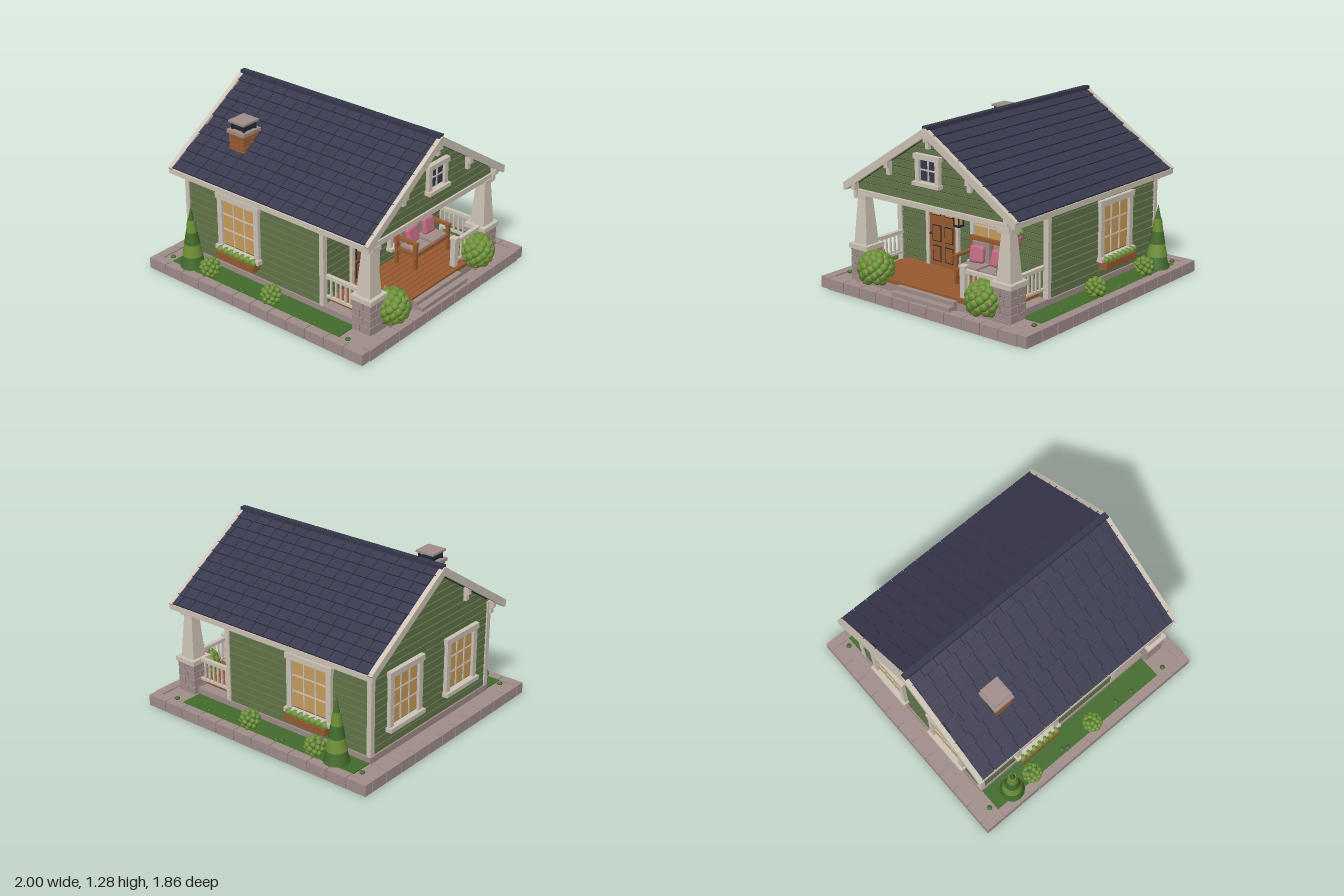
import * as THREE from 'three';
import { mergeGeometries } from 'three/addons/utils/BufferGeometryUtils.js';
import { RoundedBoxGeometry } from 'three/addons/geometries/RoundedBoxGeometry.js';

const mat = (name, color) => Object.assign(new THREE.MeshStandardMaterial({ color }), { name });
const siding = mat('green siding', 0x62754a), trim = mat('cream trim', 0xcdc3b6), slate = mat('navy shingle', 0x38384e),
  stone = mat('stone', 0xa08d89), wood = mat('warm wood', 0x975a30), glow = mat('window glow', 0xc89b59),
  leaf = mat('leaf green', 0x6c9036), grass = mat('grass green', 0x426b2c), pink = mat('pink', 0xc06a82), dark = mat('dark', 0x25252f);

// Box geometry from min / max values
function bx(x0, x1, y0, y1, z0, z1) {
  return new THREE.BoxGeometry(x1 - x0, y1 - y0, z1 - z0).translate((x0 + x1) / 2, (y0 + y1) / 2, (z0 + z1) / 2);
}
// One mesh from one geometry or a list of them
function part(parent, name, material, geos) {
  const mesh = new THREE.Mesh(Array.isArray(geos) ? mergeGeometries(geos) : geos, material);
  mesh.name = name;
  parent.add(mesh);
  return mesh;
}
function group(parent, name, x = 0, y = 0, z = 0, ry = 0) {
  const g = new THREE.Group();
  g.name = name;
  g.position.set(x, y, z);
  g.rotation.y = ry;
  parent.add(g);
  return g;
}
const ball = (r, x, y, z) => new THREE.SphereGeometry(r, 8, 6).translate(x, y, z);

const RIDGE = 1.262, PITCH = 0.645, ANGLE = Math.atan(PITCH), WALL = 0.665, BOARD = 0.055;
const halfWidth = y => Math.max(0.004, Math.min(WALL, (RIDGE - 0.05 - y) / PITCH));

// Slice of the gable outline between two heights, extruded along x
function gableSlice(y0, y1, x0, x1) {
  const k = RIDGE - 0.05 - WALL * PITCH, ys = [y0];
  if (k > y0 && k < y1) ys.push(k);
  ys.push(y1);
  const pts = ys.map(y => new THREE.Vector2(halfWidth(y), y))
    .concat(ys.slice().reverse().map(y => new THREE.Vector2(-halfWidth(y), y)));
  return new THREE.ExtrudeGeometry(new THREE.Shape(pts), { depth: x1 - x0, bevelEnabled: false })
    .rotateY(Math.PI / 2).translate(x0, 0, 0);
}
function gableBoards(y0, x0, x1) {
  const out = [];
  for (let y = y0; y < 1.19; y += BOARD) out.push(gableSlice(y + 0.007, Math.min(y + BOARD, 1.205), x0, x1));
  return out;
}

// Framed window facing +z, origin at the middle of its bottom edge
function makeWindow(parent, name, x, y, z, ry, w, h, cols, rows, glass, f = 0.042) {
  const g = group(parent, name, x, y, z, ry), a = w / 2 - f, bars = [];
  part(g, 'pane', glass, bx(-a, a, f, h - f, 0, 0.009));
  for (let i = 1; i < cols; i++) bars.push(bx(-a + 2 * a * i / cols - 0.005, -a + 2 * a * i / cols + 0.005, f, h - f, 0, 0.016));
  for (let j = 1; j < rows; j++) {
    const v = f + (h - 2 * f) * j / rows;
    bars.push(bx(-a, a, v - 0.005, v + 0.005, 0, 0.015));
  }
  part(g, 'muntins', trim, bars);
  part(g, 'frame', trim, [bx(-w / 2, -a, 0.02, h - 0.02, 0, 0.03), bx(a, w / 2, 0.02, h - 0.02, 0, 0.03),
    bx(-w / 2 - 0.01, w / 2 + 0.01, h - f, h, 0, 0.037), bx(-w / 2 - 0.012, w / 2 + 0.012, 0, f * 0.75, 0, 0.05)]);
}

// Bush of leaf clumps spread over a dark core
function bush(parent, x, y, z, r, n, flowers) {
  const g = group(parent, 'bush', x, y, z), clumps = [], blooms = [];
  for (let i = 0; i < n; i++) {
    const v = 1 - 1.8 * (i + 0.5) / n, q = Math.sqrt(1 - v * v), t = i * 2.39996;
    clumps.push(ball(r * 0.28, r * 0.78 * q * Math.cos(t), r * 0.78 * v, r * 0.78 * q * Math.sin(t)));
    if (flowers && i % 9 === 4) blooms.push(ball(r * 0.08, r * 1.06 * q * Math.cos(t), r * 1.06 * v, r * 1.06 * q * Math.sin(t)));
  }
  part(g, 'bushCore', grass, ball(r * 0.82, 0, 0, 0));
  part(g, 'leafClumps', leaf, clumps);
  if (flowers) part(g, 'blossoms', pink, blooms);
}

function conifer(parent, x, z) {
  const g = group(parent, 'conifer', x, 0.08, z);
  part(g, 'trunk', wood, new THREE.CylinderGeometry(0.02, 0.02, 0.05, 8).translate(0, 0.02, 0));
  for (let i = 0; i < 5; i++) {
    const b = 0.015 + i * 0.09, r = 0.093 * (1 - i * 0.19), top = i === 4 ? 0 : r * 0.72;
    part(g, 'tier', i % 2 ? leaf : grass, new THREE.CylinderGeometry(top, r, i === 4 ? 0.11 : 0.092, 14).translate(0, b + (i === 4 ? 0.055 : 0.046), 0));
  }
}

function railing(parent, length, x, z, ry) {
  const g = group(parent, 'railing', x, 0.155, z, ry), bars = [bx(0, length, 0.175, 0.2, -0.015, 0.015), bx(0, length, 0.025, 0.042, -0.01, 0.01)];
  const n = Math.round(length / 0.042);
  for (let i = 1; i < n; i++) bars.push(bx(length * i / n - 0.006, length * i / n + 0.006, 0.03, 0.18, -0.006, 0.006));
  part(g, 'rails', trim, bars);
}

function buildGround(m) {
  part(m, 'slab', stone, bx(-0.99, 0.97, 0, 0.072, -0.92, 0.92));
  const blocks = [];
  for (const s of [-1, 1]) {
    for (let i = 0; i < 12; i++) blocks.push(bx(-1 + i * 0.165, -1 + (i + 1) * 0.165 - 0.007, 0, 0.082, s * 0.895 - 0.035, s * 0.895 + 0.035));
    const x = s < 0 ? -0.965 : 0.945;
    for (let i = 0; i < 11; i++) blocks.push(bx(x - 0.035, x + 0.035, 0, 0.082, -0.857 + i * 0.156, -0.857 + (i + 1) * 0.156 - 0.007));
    part(m, 'lawn', grass, bx(-0.84, 0.71, 0.06, 0.08, s * 0.77 - 0.09, s * 0.77 + 0.09));
    conifer(m, -0.67, s * 0.815);
    for (const bxPos of [-0.49, 0.09]) bush(m, bxPos, 0.145, s * 0.825, 0.075, 30, false);
    bush(m, 0.865, 0.205, s * 0.49, 0.128, 60, true);
    part(m, 'tufts', grass, [-0.88, -0.2, -0.16, 0.34, 0.48, 0.78].map((v, i) => ball(0.02, 0, 0, 0).scale(1, 0.6, 1).translate(v, 0.083, s * (0.81 + 0.015 * (i % 3)))));
  }
  part(m, 'borderStones', stone, blocks);
}

function buildHouse(m) {
  part(m, 'foundation', stone, [bx(-0.85, 0.435, 0.06, 0.12, -0.685, 0.685), bx(0.43, 0.87, 0.06, 0.125, -0.685, 0.685)]);
  part(m, 'wallCore', dark, gableSlice(0.1, 1.2, -0.825, 0.415).scale(1, 1, 0.995));
  part(m, 'endSiding', siding, [...gableBoards(0.115, -0.84, -0.82), ...gableBoards(0.115, 0.41, 0.427)]);
  for (const s of [-1, 1]) {
    const rows = [];
    for (let y = 0.115; y < 0.75; y += BOARD) rows.push(bx(-0.835, 0.422, y + 0.007, y + BOARD, s * WALL - 0.01, s * WALL + 0.01));
    part(m, 'sideSiding', siding, rows);
    part(m, 'cornerTrim', trim, [bx(-0.85, -0.815, 0.115, 0.78, s * 0.664 - 0.02, s * 0.664 + 0.02), bx(0.402, 0.438, 0.115, 0.78, s * 0.664 - 0.02, s * 0.664 + 0.02)]);
    makeWindow(m, 'sideWindow', -0.33, 0.24, s * 0.67, s > 0 ? 0 : Math.PI, 0.385, 0.44, 3, 3, glow);
    makeWindow(m, 'backWindow', -0.838, 0.24, s * 0.32, -Math.PI / 2, 0.36, 0.44, 3, 3, glow);
    // Flower box below the side window
    part(m, 'flowerBox', wood, bx(-0.51, -0.15, 0.185, 0.235, s * 0.71 - 0.035, s * 0.71 + 0.035));
    part(m, 'boxPlants', leaf, [0, 1, 2, 3, 4, 5, 6].map(i => ball(0.03, -0.485 + i * 0.052, 0.246, s * 0.715)));
  }
  makeWindow(m, 'porchWindow', 0.427, 0.25, -0.175, Math.PI / 2, 0.31, 0.43, 2, 3, glow, 0.03);

  // Front door
  const d = group(m, 'door', 0.427, 0.155, 0.245, Math.PI / 2);
  part(d, 'doorLeaf', wood, bx(-0.125, 0.125, 0, 0.485, 0, 0.012));
  part(d, 'doorFrame', trim, [bx(-0.152, -0.125, 0, 0.49, 0, 0.025), bx(0.125, 0.152, 0, 0.49, 0, 0.025), bx(-0.16, 0.16, 0.485, 0.515, 0, 0.032)]);
  const grooves = [], panels = [], lights = [];
  for (const x of [-0.057, 0.057]) for (const [y, h] of [[0.035, 0.115], [0.18, 0.12], [0.37, 0.075]]) {
    grooves.push(bx(x - 0.04, x + 0.04, y, y + h, 0.01, 0.015));
    (y > 0.3 ? lights : panels).push(bx(x - 0.033, x + 0.033, y + 0.007, y + h - 0.007, 0.01, 0.019));
  }
  part(d, 'panelGrooves', dark, grooves);
  part(d, 'doorPanels', wood, panels);
  part(d, 'doorLights', glow, lights);
  part(d, 'knob', dark, ball(0.01, -0.108, 0.235, 0.022));

  // Wall lantern
  const l = group(m, 'lantern', 0.485, 0.5, 0.06);
  part(l, 'lanternGlass', glow, bx(-0.02, 0.02, 0.015, 0.08, -0.02, 0.02));
  part(l, 'lanternFrame', dark, [bx(-0.028, 0.028, 0, 0.015, -0.028, 0.028), bx(-0.032, 0.032, 0.08, 0.095, -0.032, 0.032),
    bx(-0.018, 0.018, 0.095, 0.112, -0.018, 0.018), bx(-0.06, 0, 0.095, 0.105, -0.008, 0.008),
    ...[-1, 1].flatMap(a => [-1, 1].map(b => bx(a * 0.022 - 0.004, a * 0.022 + 0.004, 0, 0.09, b * 0.022 - 0.004, b * 0.022 + 0.004)))]);
}

function buildRoof(m) {
  for (const s of [-1, 1]) {
    const g = group(m, 'roofSlope', 0, RIDGE, 0);
    g.rotation.x = s * ANGLE;
    const slab = (x0, x1, y0, y1, t0, t1) => bx(x0, x1, y0, y1, Math.min(s * t0, s * t1), Math.max(s * t0, s * t1));
    part(g, 'roofDeck', dark, slab(-0.885, 0.855, -0.035, -0.01, 0, 0.9));
    const tiles = [], n = 11, len = 0.907 / n, w = 0.1135;
    for (let r = 0; r < n; r++) for (let i = -1; i < 16; i++) {
      const shift = (r % 2) * 0.018 + (r % 3) * 0.007, x0 = Math.max(-0.895 + (r % 2) * 0.012, -0.9 + i * w + shift), x1 = Math.min(0.868 - (r % 3) * 0.006, -0.9 + (i + 1) * w + shift - 0.006);
      if (x1 - x0 < 0.01) continue;
      tiles.push(bx(x0, x1, -0.007, 0.007, -len / 2, len / 2 - 0.003).rotateX(-s * 0.09).translate(0, 0, s * (r + 0.5) * len));
    }
    part(g, 'shingles', slate, tiles);
    part(g, 'rakeBoards', trim, [slab(-0.92, -0.885, -0.042, 0.01, 0, 0.915), slab(0.853, 0.885, -0.042, 0.01, 0, 0.915)]);
    part(m, 'eaveFascia', trim, bx(-0.92, 0.885, 0.728, 0.766, s * 0.757 - 0.01, s * 0.757 + 0.01));
  }
  part(m, 'ridgeCap', slate, Array.from({ length: 16 }, (_, i) => bx(-0.91 + i * 0.112, -0.91 + (i + 1) * 0.112 - 0.006, 1.25, 1.283, -0.022, 0.022)));

  // Porch gable with window and brackets
  part(m, 'gableCore', dark, gableSlice(0.735, 1.2, 0.79, 0.822).scale(1, 1, 0.995));
  part(m, 'gableLining', siding, gableSlice(0.735, 1.2, 0.775, 0.79));
  part(m, 'gableSiding', siding, gableBoards(0.735, 0.815, 0.835));
  makeWindow(m, 'gableWindow', 0.835, 0.872, 0, Math.PI / 2, 0.21, 0.215, 2, 2, slate, 0.035);
  const brackets = [];
  for (const x of [0.835, -0.885]) for (const z of [-0.68, -0.36, 0, 0.36, 0.68]) {
    const y = RIDGE - 0.055 - Math.abs(z) * PITCH;
    brackets.push(bx(x, x + 0.045, y - 0.03, y + 0.015, z - 0.017, z + 0.017), bx(x + (x > 0 ? 0 : 0.02), x + (x > 0 ? 0.025 : 0.045), y - 0.08, y - 0.03, z - 0.015, z + 0.015));
  }
  part(m, 'brackets', trim, brackets);

  // Chimney
  const c = group(m, 'chimney', -0.49, 0, 0.44), bricks = [];
  part(c, 'mortar', dark, bx(-0.062, 0.062, 0.85, 1.06, -0.072, 0.072));
  for (let r = 0; r < 7; r++) {
    const y = 0.86 + r * 0.029, k = r % 2 ? 0.02 : -0.02;
    bricks.push(bx(-0.068, k - 0.003, y, y + 0.025, -0.078, 0.078), bx(k + 0.003, 0.068, y, y + 0.025, -0.078, 0.078));
  }
  part(c, 'bricks', wood, bricks);
  part(c, 'chimneyCaps', stone, [bx(-0.082, 0.082, 1.06, 1.085, -0.088, 0.088), bx(-0.074, 0.074, 1.138, 1.153, -0.078, 0.078)]);
  part(c, 'flue', dark, [bx(-0.05, 0.05, 1.08, 1.115, -0.05, 0.05), ...[-1, 1].flatMap(a => [-1, 1].map(b => bx(a * 0.055 - 0.007, a * 0.055 + 0.007, 1.08, 1.14, b * 0.055 - 0.007, b * 0.055 + 0.007)))]);
}

function buildPorch(m) {
  part(m, 'porchPlanks', wood, Array.from({ length: 10 }, (_, i) => bx(0.43 + i * 0.044, 0.47 + i * 0.044, 0.12, 0.155, -0.6, 0.6)));
  part(m, 'steps', stone, [bx(0.85, 0.905, 0.07, 0.138, -0.26, 0.26), bx(0.85, 0.955, 0.07, 0.11, -0.26, 0.26)]);
  part(m, 'porchBeams', trim, [bx(0.765, 0.845, 0.7, 0.738, -0.71, 0.71), bx(0.42, 0.8, 0.728, 0.78, 0.625, 0.665), bx(0.42, 0.8, 0.728, 0.78, -0.665, -0.625)]);
  for (const s of [-1, 1]) {
    const c = group(m, 'column', 0.795, 0, s * 0.645), blocks = [];
    part(c, 'pierCore', dark, bx(-0.069, 0.069, 0.08, 0.315, -0.069, 0.069));
    for (let r = 0; r < 4; r++) for (const a of [-1, 1]) for (const b of [-1, 1]) {
      const k = r % 2 ? 0.014 : -0.014, x = [a < 0 ? -0.077 : k + 0.003, a < 0 ? k - 0.003 : 0.077], z = [b < 0 ? -0.077 : k + 0.003, b < 0 ? k - 0.003 : 0.077];
      blocks.push(bx(x[0], x[1], 0.082 + r * 0.058, 0.135 + r * 0.058, z[0], z[1]));
    }
    part(c, 'pierStones', stone, blocks);
    part(c, 'shaft', trim, new THREE.CylinderGeometry(0.036 * Math.SQRT2, 0.06 * Math.SQRT2, 0.33, 4, 1).rotateY(Math.PI / 4).toNonIndexed().translate(0, 0.51, 0)).geometry.computeVertexNormals();
    part(c, 'columnCaps', trim, [bx(-0.088, 0.088, 0.313, 0.347, -0.088, 0.088), bx(-0.055, 0.055, 0.672, 0.705, -0.055, 0.055)]);
    part(m, 'brace', trim, bx(-0.075, 0.075, -0.013, 0.013, -0.015, 0.015).rotateZ(-0.42).translate(0.69, 0.705, s * 0.645));
    railing(m, 0.285, 0.435, s * 0.645, 0);
  }
  railing(m, 0.29, 0.82, -0.28, Math.PI / 2);
  part(m, 'newelPost', trim, [bx(0.8, 0.84, 0.125, 0.37, -0.3, -0.26), bx(0.794, 0.846, 0.365, 0.38, -0.306, -0.254)]);

  // Bench with pads and cushions
  const b = group(m, 'bench', 0.47, 0.155, -0.25);
  const frame = [bx(0, 0.19, 0.1, 0.125, -0.2, 0.2), bx(0, 0.022, 0.28, 0.31, -0.205, 0.205), bx(0, 0.018, 0.13, 0.155, -0.2, 0.2)];
  for (const s of [-1, 1]) frame.push(bx(0, 0.025, 0, 0.3, s * 0.19 - 0.013, s * 0.19 + 0.013), bx(0.165, 0.19, 0, 0.2, s * 0.19 - 0.013, s * 0.19 + 0.013), bx(0, 0.195, 0.195, 0.212, s * 0.19 - 0.016, s * 0.19 + 0.016));
  frame.push(bx(0, 0.02, 0.1, 0.3, -0.012, 0.012));
  part(b, 'benchFrame', wood, frame);
  for (const s of [-1, 1]) {
    part(b, 'pad', stone, [bx(0.012, 0.035, 0.145, 0.28, s * 0.093 - 0.075, s * 0.093 + 0.075), bx(0.03, 0.18, 0.122, 0.14, s * 0.093 - 0.08, s * 0.093 + 0.08)]);
    const cushion = part(b, 'cushion', pink, new RoundedBoxGeometry(0.045, 0.12, 0.12, 3, 0.018));
    cushion.position.set(0.07, 0.205, s * 0.093);
    cushion.rotation.set(s * 0.08, 0, 0.2);
  }

  // Hanging flower pot
  const h = group(m, 'hangingPlant', 0.53, 0.485, -0.49);
  part(h, 'pot', pink, [new THREE.CylinderGeometry(0.042, 0.03, 0.065, 14).translate(0, 0.033, 0), new THREE.CylinderGeometry(0.048, 0.048, 0.016, 14).translate(0, 0.066, 0)]);
  part(h, 'potLeaves', leaf, [0, 1, 2, 3, 4, 5, 6].map(i => ball(0.022, i ? 0.03 * Math.cos(i * 1.047) : 0, i ? 0.09 : 0.115, i ? 0.03 * Math.sin(i * 1.047) : 0)));
  part(h, 'wires', dark, [0, 1, 2].map(i => {
    const p = new THREE.Vector3(0.044 * Math.cos(i * 2.094), 0.07, 0.044 * Math.sin(i * 2.094));
    return new THREE.TubeGeometry(new THREE.LineCurve3(p, new THREE.Vector3(0, 0.22, 0)), 1, 0.0025, 5);
  }));
}

export function createModel() {
  const model = new THREE.Group();
  model.name = 'bungalow';
  buildGround(model);
  buildHouse(model);
  buildRoof(model);
  buildPorch(model);
  return model;
}
